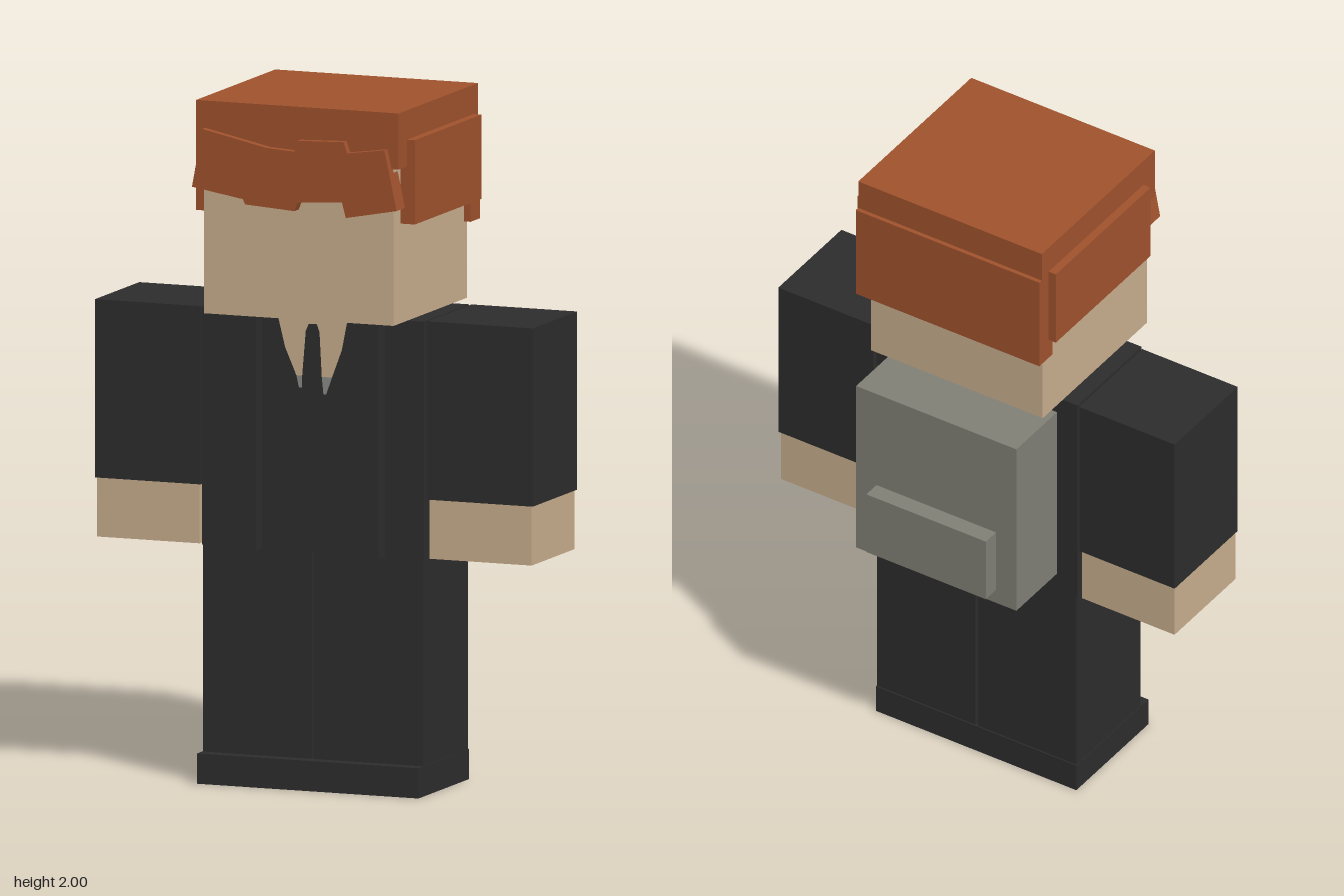
import * as THREE from 'three';

const material = (name, color) => {
  const m = new THREE.MeshStandardMaterial({ color });
  m.name = name;
  return m;
};

export function createModel() {
  const model = new THREE.Group();
  const skin = material('skin', 0xc9ae8e);
  const hair = material('hair', 0xa0522d);
  const suit = material('suit', 0x2d2d2d);
  const canvas = material('canvas', 0x808076);
  const shirt = material('shirt', 0x8a8d88);

  const add = (name, geometry, mat) => {
    const mesh = new THREE.Mesh(geometry, mat);
    mesh.name = name;
    model.add(mesh);
    return mesh;
  };
  // Box given by its extents on each axis
  const box = (name, mat, [x0, x1], [y0, y1], [z0, z1]) =>
    add(name, new THREE.BoxGeometry(x1 - x0, y1 - y0, z1 - z0), mat)
      .position.set((x0 + x1) / 2, (y0 + y1) / 2, (z0 + z1) / 2);
  // Flat outline with thickness, starting at depth z
  const plate = (name, mat, points, z, depth) => {
    const shape = new THREE.Shape(points.map(([x, y]) => new THREE.Vector2(x, y)));
    add(name, new THREE.ExtrudeGeometry(shape, { depth, bevelEnabled: false }), mat).position.z = z;
  };

  // Head and hair
  box('head', skin, [-0.295, 0.295], [1.38, 1.9], [-0.21, 0.335]);
  box('hairTop', hair, [-0.315, 0.315], [1.837, 2], [-0.245, 0.345]);
  box('hairBack', hair, [-0.315, 0.315], [1.605, 1.905], [-0.258, -0.19]);
  plate('fringe', hair, [
    [-0.286, 1.921], [-0.085, 1.878], [0, 1.873], [0.01, 1.905], [0.153, 1.91],
    [0.164, 1.878], [0.28, 1.894], [0.318, 1.72], [0.16, 1.69], [0.148, 1.735],
    [0.01, 1.725], [0, 1.7], [-0.153, 1.71], [-0.16, 1.725], [-0.318, 1.751],
  ], 0.305, 0.063);

  // Torso with open collar
  box('jacket', suit, [-0.345, 0.345], [0.69, 1.38], [-0.105, 0.23]);
  plate('openCollar', skin, [
    [-0.11, 1.38], [-0.085, 1.28], [-0.05, 1.2], [-0.033, 1.2], [-0.022, 1.33], [-0.012, 1.352],
    [0.014, 1.352], [0.022, 1.33], [0.029, 1.2], [0.06, 1.2], [0.09, 1.28], [0.11, 1.38],
  ], 0.23, 0.003);
  plate('shirtTipRight', shirt, [[-0.05, 1.2], [-0.042, 1.165], [-0.033, 1.165], [-0.033, 1.2]], 0.23, 0.003);
  plate('shirtTipLeft', shirt, [[0.029, 1.2], [0.034, 1.15], [0.042, 1.15], [0.06, 1.2]], 0.23, 0.003);

  // Paired parts
  for (const [side, s] of [['left', 1], ['right', -1]]) {
    const span = (a, b) => (s > 0 ? [a, b] : [-b, -a]);
    box(side + 'SideHair', hair, span(0.29, 0.34), [1.67, 1.915], [-0.21, 0.285]);
    box(side + 'JacketStrip', suit, span(0.156, 0.225), [0.69, 1.38], [0.22, 0.28]);
    box(side + 'Sleeve', suit, span(0.353, 0.68), [0.862, 1.38], [-0.107, 0.222]);
    box(side + 'Hand', skin, span(0.357, 0.675), [0.69, 0.862], [-0.1, 0.218]);
    box(side + 'Leg', suit, span(0.004, 0.342), [0.085, 0.69], [-0.105, 0.23]);
    box(side + 'Shoe', suit, span(0, 0.344), [0, 0.088], [-0.109, 0.268]);
  }

  // Backpack
  box('backpack', canvas, [-0.275, 0.275], [0.747, 1.327], [-0.317, -0.105]);
  box('backpackPocket', canvas, [-0.205, 0.205], [0.793, 1], [-0.37, -0.317]);

  return model;
}
